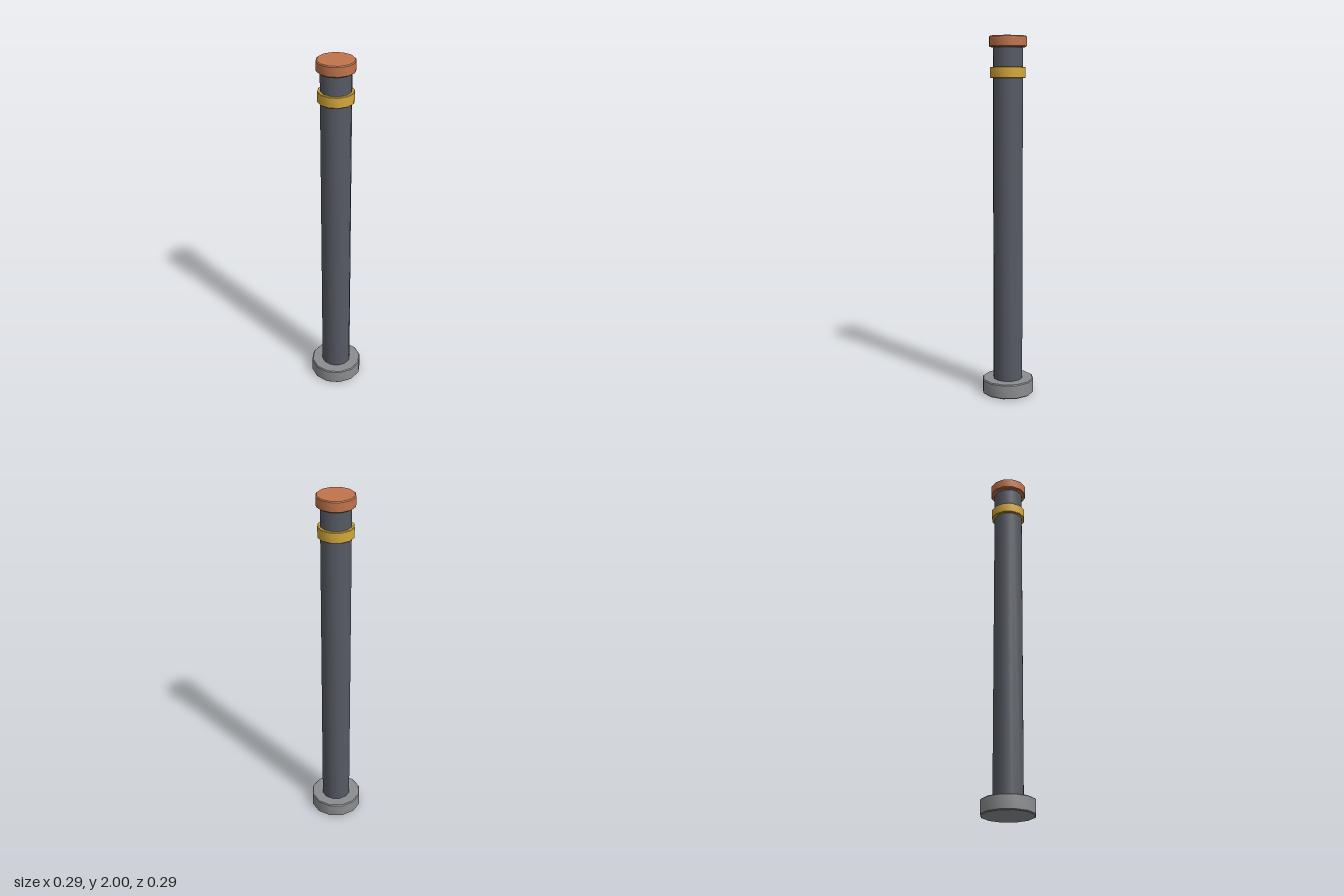
import * as THREE from 'three';
import { toCreasedNormals } from 'three/addons/utils/BufferGeometryUtils.js';

const SIDES = 12;
const material = (name, color) => new THREE.MeshStandardMaterial({ name, color });

// Twelve-sided disc or rod with small bevels on both rims
function bevelledRod(name, mat, radius, bottom, top, bevel) {
  const profile = [
    [0, bottom], [radius - bevel, bottom], [radius, bottom + bevel],
    [radius, top - bevel], [radius - bevel, top], [0, top],
  ].map(([r, y]) => new THREE.Vector2(r, y));
  const geometry = toCreasedNormals(new THREE.LatheGeometry(profile, SIDES), 0.6);
  const mesh = new THREE.Mesh(geometry, mat);
  mesh.name = name;
  return mesh;
}

export function createModel() {
  const steel = material('grey steel', 0x8c8d90);
  const iron = material('dark iron', 0x565a63);
  const brass = material('brass', 0xd4a83a);
  const copper = material('copper', 0xc1744c);

  const model = new THREE.Group();
  model.name = 'post';
  model.add(
    bevelledRod('base', steel, 0.147, 0, 0.083, 0.005),
    bevelledRod('shaft', iron, 0.083, 0.01, 1.941, 0.005),
    bevelledRod('collar', brass, 0.098, 1.774, 1.834, 0.003),
    bevelledRod('cap', copper, 0.104, 1.94, 2, 0.005),
  );
  return model;
}
